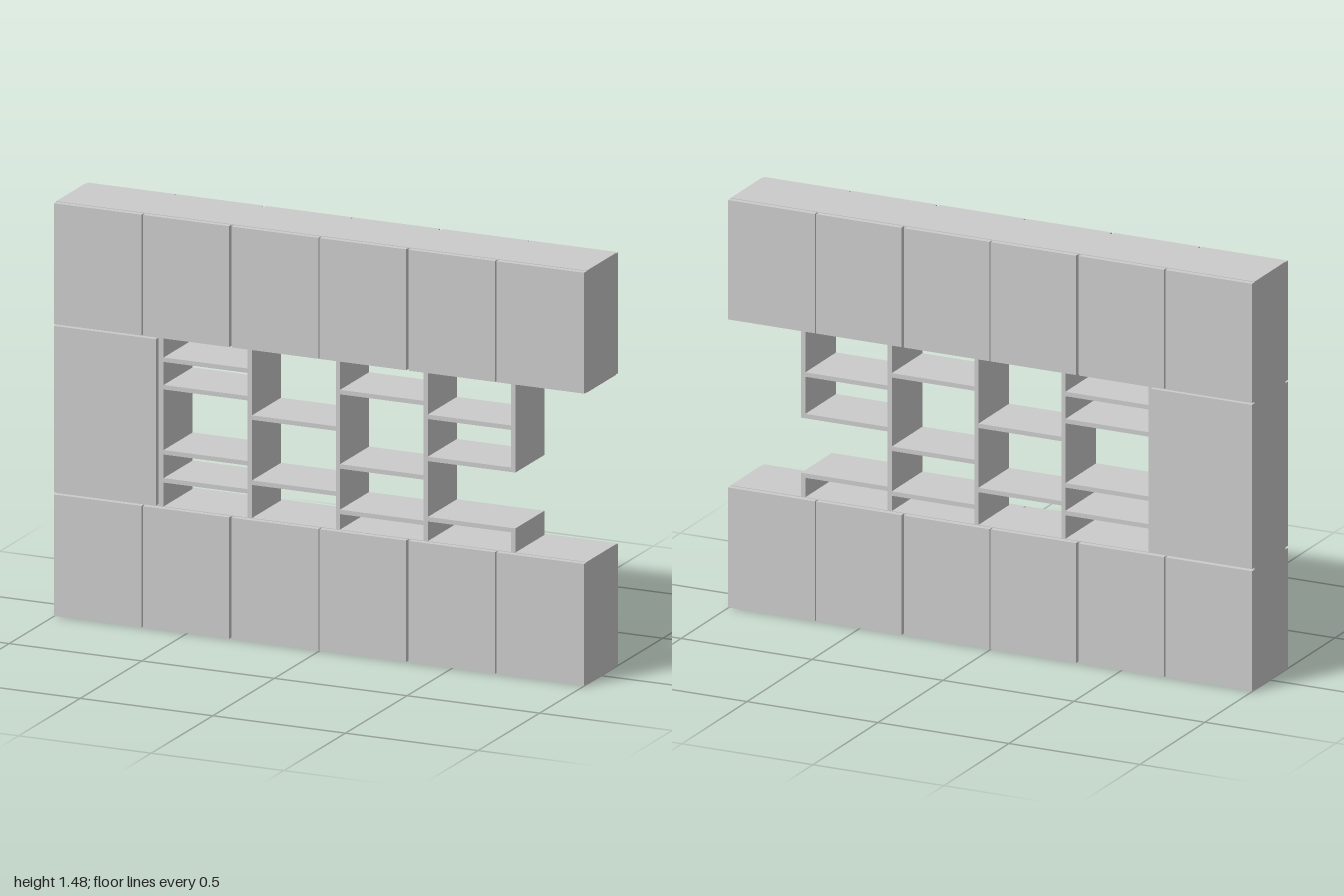
import * as THREE from 'three';

const material = new THREE.MeshStandardMaterial({ color: 0xcccccc });
const DEPTH = 0.236;  // carcass and shelf depth
const DOOR = 0.02;    // door thickness
const BOARD = 0.016;  // shelf board thickness

// Box given by its x, y and z limits
function box(parent, name, x0, x1, y0, y1, z0 = -DEPTH / 2, z1 = DEPTH / 2) {
  const mesh = new THREE.Mesh(new THREE.BoxGeometry(x1 - x0, y1 - y0, z1 - z0), material);
  mesh.position.set((x0 + x1) / 2, (y0 + y1) / 2, (z0 + z1) / 2);
  mesh.name = name;
  parent.add(mesh);
}

// Matching doors on the front and the back of a carcass
function doorPair(parent, x0, x1, y0, y1) {
  const z = DEPTH / 2;
  box(parent, 'frontDoor', x0, x1, y0, y1, z, z + DOOR);
  box(parent, 'backDoor', x0, x1, y0, y1, -z - DOOR, -z);
}

// Full-width row of six cabinets
function cabinetRow(name, y0, y1) {
  const row = new THREE.Group();
  row.name = name;
  box(row, 'carcass', -1, 1, y0, y1);
  const gaps = [0, 0.005, 0.011, 0.004, 0.011, 0.005, 0];
  for (let i = 0; i < 6; i++) {
    doorPair(row, -1 + i / 3 + gaps[i] / 2, -1 + (i + 1) / 3 - gaps[i + 1] / 2, y0 + 0.002, y1 - 0.002);
  }
  return row;
}

export function createModel() {
  const model = new THREE.Group();
  model.name = 'shelvingWall';
  const low = 0.437, high = 1.04;
  model.add(cabinetRow('lowerCabinets', 0, low), cabinetRow('upperCabinets', high, 1.475));

  // Cabinet at one end of the open section
  const side = new THREE.Group();
  side.name = 'sideCabinet';
  box(side, 'carcass', -1, -0.595, low, high);
  doorPair(side, -1, -0.615, low + 0.006, high - 0.004);
  model.add(side);

  // Open shelves between upright dividers
  const shelves = new THREE.Group();
  shelves.name = 'openShelves';
  const uprights = [-0.603, -0.27, 0.062, 0.393, 0.723];
  const levels = [
    [0.53, 0.63, 0.862, 0.96],
    [0.563, 0.795],
    [0.5, 0.662, 0.927],
    [0.515, 0.73, 0.88],
  ];
  const t = BOARD / 2;
  for (const x of uprights.slice(1, 4)) box(shelves, 'divider', x - t, x + t, low, high);
  levels.forEach((ys, i) => {
    for (const y of ys) box(shelves, 'shelf', uprights[i] + t, uprights[i + 1] - t, y - t, y + t);
  });

  // Split end panel with an open gap
  const end = uprights[4];
  box(shelves, 'lowerEndPanel', end - t, end + t, low, 0.515 + t);
  box(shelves, 'upperEndPanel', end - t, end + t, 0.73 - t, high);
  model.add(shelves);
  return model;
}
